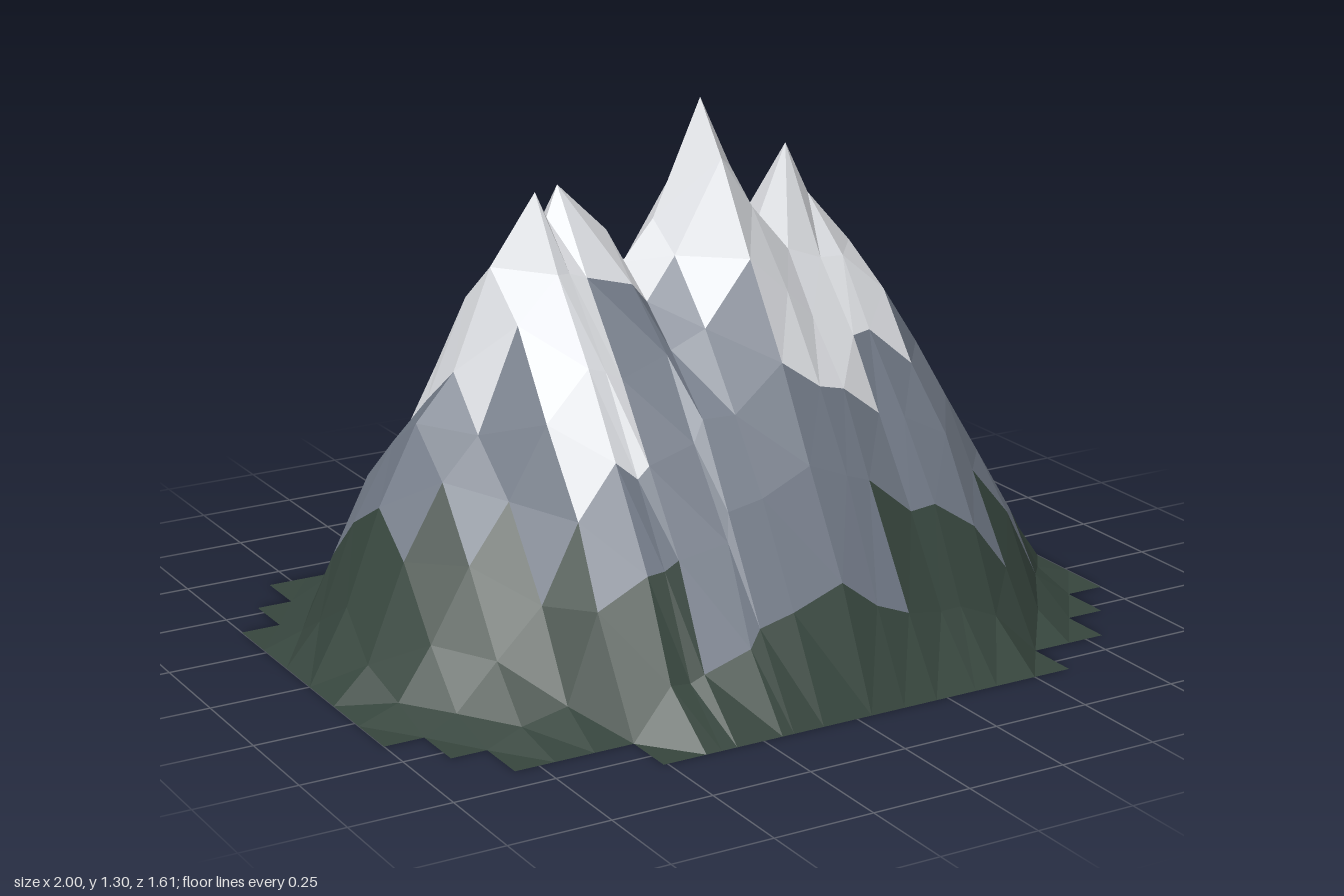
import * as THREE from 'three';

const PEAK = 1.3;    // height of the main summit
const DEPTH = 0.805; // half depth of the base
const ROWS = 6;      // rows of cells on each side of the ridge

// Ridge line from left to right: [x, height, z of the crest, height of the broad slope where it differs]
const RIDGE = [
  [-1, 0, 0], [-0.9, 0.18, 0], [-0.81, 0.41, 0], [-0.71, 0.6, 0], [-0.61, 0.71, 0, 0.74],
  [-0.51, 0.95, 0], [-0.4, 1.12, 0.02, 1.05], [-0.36, 1.05, 0, 1.07], [-0.32, 1.12, -0.02, 1.09],
  [-0.2, 1.0, 0, 1.17], [-0.17, 0.92, 0.02, 1.2], [-0.09, 1.02, 0.03, 1.24], [0.04, 1.3, 0.03],
  [0.13, 1.12, 0.02, 1.22], [0.22, 0.97, 0, 1.14], [0.33, 1.14, -0.05, 1.02], [0.39, 1.01, -0.04, 0.98],
  [0.5, 0.88, -0.02], [0.6, 0.7, 0], [0.7, 0.52, 0], [0.8, 0.34, 0], [0.9, 0.17, 0], [1, 0, 0],
];

// Rows of cells reached by each zone, per strip between two ridge points
const FRONT = {
  foot: [3, 4, 5, 5, 5, 6, 6, 6, 6, 6, 6, 6, 6, 6, 6, 6, 6, 6, 5, 5, 4, 3],
  rock: [0, 0, 1, 2, 3, 4, 4, 4, 5, 5, 5, 5, 5, 5, 4, 4, 4, 4, 3, 3, 0, 0],
  snow: [0, 0, 0, 0, 1, 3, 3, 3, 1, 1, 1, 2, 3, 3, 3, 2, 2, 1, 0, 0, 0, 0],
};
const BACK = {
  foot: [3, 4, 5, 5, 5, 6, 6, 6, 6, 6, 6, 6, 6, 6, 6, 6, 6, 5, 5, 5, 4, 3],
  rock: [0, 0, 3, 3, 4, 4, 4, 4, 4, 4, 4, 4, 4, 4, 4, 4, 4, 4, 3, 2, 0, 0],
  snow: [0, 0, 0, 0, 2, 2, 2, 2, 2, 2, 2, 2, 3, 3, 2, 3, 3, 2, 0, 0, 0, 0],
};

// Repeatable noise in -1..1
function noise(i, j, k) {
  const s = Math.sin(i * 127.1 + j * 311.7 + k * 74.7) * 43758.5453;
  return (s - Math.floor(s)) * 2 - 1;
}

// Surface point on ridge point i, row j (front rows are positive)
function surfacePoint(i, j) {
  const [x, top, crest, slope = top] = RIDGE[i];
  const foot = (j >= 0 ? FRONT : BACK).foot;
  const reach = Math.min(foot[Math.max(i - 1, 0)], foot[Math.min(i, foot.length - 1)]);
  const row = j * DEPTH / ROWS;
  if (i === 0 || i === RIDGE.length - 1 || Math.abs(j) >= reach) return [x, 0, row];
  if (j === 0) return [x, top, crest];
  const z = row + noise(i, j, 1) * 0.015;

  // Rounded cone: distances along and across the ridge combine, sharper at the left front
  const t = Math.abs(z - crest) / Math.abs(Math.sign(j) * DEPTH - crest);
  const across = j > 0 ? 1 - (1 - t) * (1 + 0.17 * t) : t;
  const along = 1 - slope / PEAK;
  const power = j > 0 ? (x < 0 ? 1.2 : 1.55) : (x < 0 ? 1.45 : 1.7);
  const r = Math.pow(across ** power + along ** power, 1 / power);

  // Spires end within one row, gullies fade out further down
  const fade = top > slope ? 0.13 : 0.45;
  const detail = (top - slope) * Math.max(0, 1 - Math.abs(z - crest) / fade);
  const y = PEAK * (1 - r) + detail + noise(i, j, 2) * 0.012;
  return [x + noise(i, j, 3) * 0.012, Math.max(y, 0.035), z];
}

// Faceted surface of all cells belonging to one zone
function zoneGeometry(zone) {
  const positions = [];
  for (let i = 0; i < RIDGE.length - 1; i++) {
    for (let j = -ROWS; j < ROWS; j++) {
      const side = j >= 0 ? FRONT : BACK;
      const n = j >= 0 ? j : -j - 1;
      if (n >= side.foot[i]) continue;
      const kind = n < side.snow[i] ? 'snow' : n < side.rock[i] ? 'rock' : 'forest';
      if (kind !== zone) continue;
      const a = surfacePoint(i, j), b = surfacePoint(i + 1, j);
      const c = surfacePoint(i + 1, j + 1), d = surfacePoint(i, j + 1);
      // Split each cell along the diagonal that follows the contour
      const tris = (i < 12) === (j < 0) ? [a, d, b, b, d, c] : [a, d, c, a, c, b];
      for (const p of tris) positions.push(...p);
    }
  }
  const geometry = new THREE.BufferGeometry();
  geometry.setAttribute('position', new THREE.Float32BufferAttribute(positions, 3));
  geometry.computeVertexNormals();
  return geometry;
}

export function createModel() {
  const mountain = new THREE.Group();
  mountain.name = 'mountain';
  const zones = [
    ['forest', 'forestSlopes', 'forest green', 0x36453d],
    ['rock', 'rockFaces', 'slate grey', 0x707885],
    ['snow', 'snowCaps', 'snow white', 0xd9dbdf],
  ];
  for (const [zone, part, colourName, hex] of zones) {
    const material = new THREE.MeshStandardMaterial({
      color: hex, flatShading: true, side: THREE.DoubleSide,
    });
    material.name = colourName;
    const mesh = new THREE.Mesh(zoneGeometry(zone), material);
    mesh.name = part;
    mountain.add(mesh);
  }
  return mountain;
}
